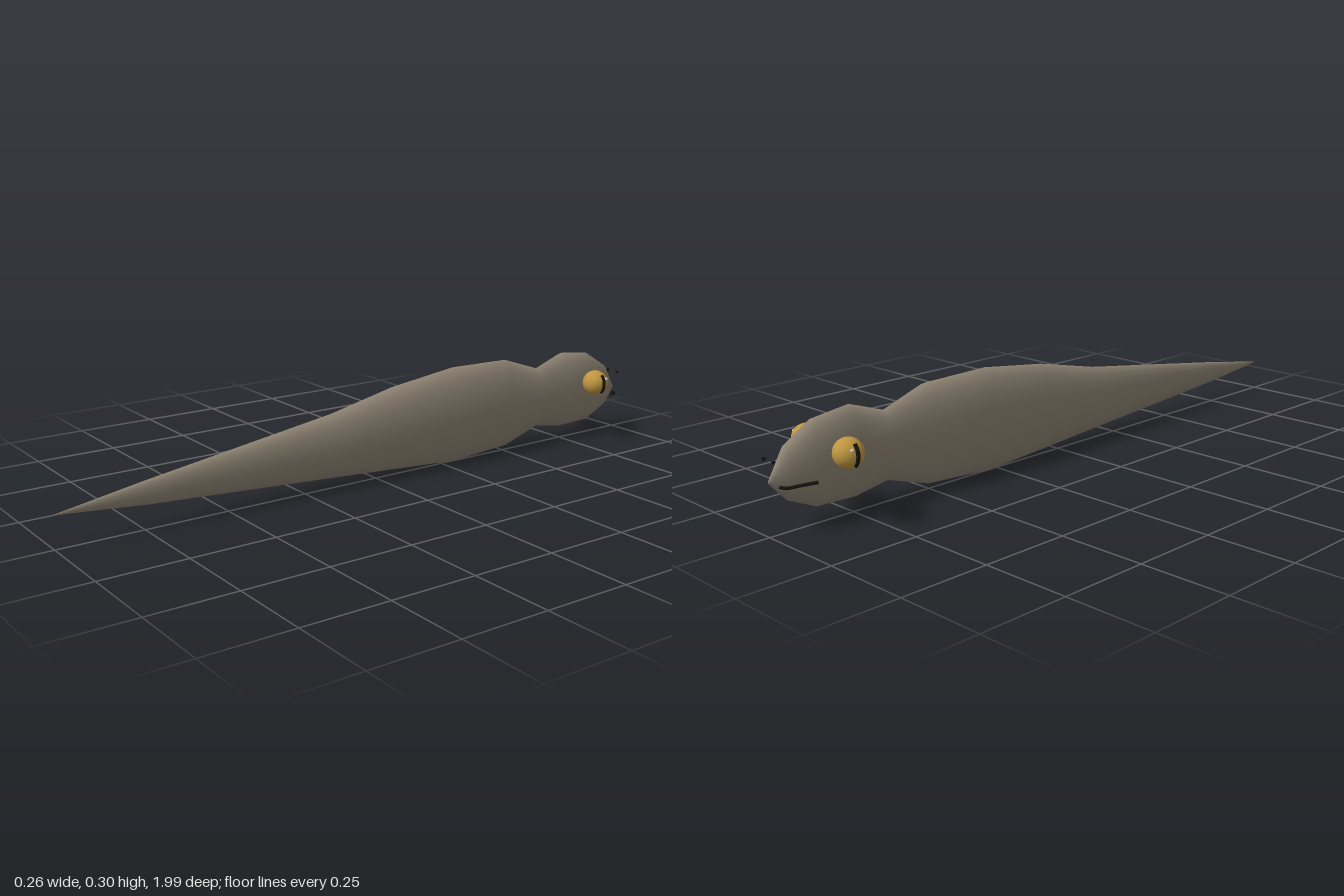
import * as THREE from 'three';

const SIDES = 20;
// Body rings from snout to tail tip: z, bottom y, top y, half width
const RINGS = [
  [-0.995, 0.138, 0.142, 0.001],
  [-0.945, 0.083, 0.222, 0.026],
  [-0.86, 0.045, 0.274, 0.043],
  [-0.75, 0.042, 0.288, 0.048],
  [-0.64, 0.06, 0.25, 0.037],
  [-0.5, 0.016, 0.297, 0.056],
  [-0.29, 0.002, 0.301, 0.061],
  [-0.07, 0.017, 0.273, 0.056],
  [0.15, 0.032, 0.225, 0.044],
  [0.45, 0.051, 0.181, 0.028],
  [0.74, 0.07, 0.138, 0.014],
  [0.995, 0.094, 0.096, 0.001],
];

function bodyGeometry() {
  const positions = [], index = [];
  RINGS.forEach(([z, low, high, w], i) => {
    for (let j = 0; j < SIDES; j++) {
      const a = (j / SIDES) * Math.PI * 2;
      positions.push(w * Math.cos(a), (low + high) / 2 + ((high - low) / 2) * Math.sin(a), z);
      if (i === RINGS.length - 1) continue;
      const p = i * SIDES + j, q = i * SIDES + ((j + 1) % SIDES);
      index.push(p, q, p + SIDES, q, q + SIDES, p + SIDES);
    }
  });
  const g = new THREE.BufferGeometry();
  g.setAttribute('position', new THREE.Float32BufferAttribute(positions, 3));
  g.setIndex(index);
  g.computeVertexNormals();
  return g;
}

export function createModel() {
  const model = new THREE.Group();
  const paint = (color) => new THREE.MeshStandardMaterial({ color });
  const skin = paint(0x8b8171), gold = paint(0xbf9640), dark = paint(0x15120f), white = paint(0xffffff);

  const add = (name, geometry, material, x = 0, y = 0, z = 0) => {
    const mesh = new THREE.Mesh(geometry, material);
    mesh.name = name;
    mesh.position.set(x, y, z);
    model.add(mesh);
    return mesh;
  };

  add('body', bodyGeometry(), skin);

  for (const s of [1, -1]) {
    const side = s > 0 ? 'left' : 'right';
    const ex = s * 0.0865, ey = 0.195, ez = -0.82;

    // Bulging eye with a vertical slit pupil and a small glint
    add(side + 'Eye', new THREE.SphereGeometry(0.04, 24, 16), gold, ex, ey, ez);
    const slit = [-0.8, -0.4, 0, 0.4, 0.8].map(
      (a) => new THREE.Vector3(s * 0.0385 * Math.cos(a), 0.0385 * Math.sin(a), 0));
    add(side + 'Pupil', new THREE.TubeGeometry(new THREE.CatmullRomCurve3(slit), 12, 0.006, 8), dark, ex, ey, ez);
    add(side + 'Glint', new THREE.SphereGeometry(0.005, 10, 8), white, ex + s * 0.035, ey + 0.016, ez - 0.014);

    // Corner of the mouth, sweeping back beside the snout
    const mouth = new THREE.CatmullRomCurve3([
      new THREE.Vector3(s * 0.018, 0.128, -0.974),
      new THREE.Vector3(s * 0.035, 0.128, -0.966),
      new THREE.Vector3(s * 0.052, 0.132, -0.937),
      new THREE.Vector3(s * 0.074, 0.137, -0.902),
    ]);
    add(side + 'Mouth', new THREE.TubeGeometry(mouth, 14, 0.0045, 6), dark);

    add(side + 'Nostril', new THREE.SphereGeometry(0.005, 10, 8), dark, s * 0.021, 0.195, -0.99);
  }
  return model;
}
